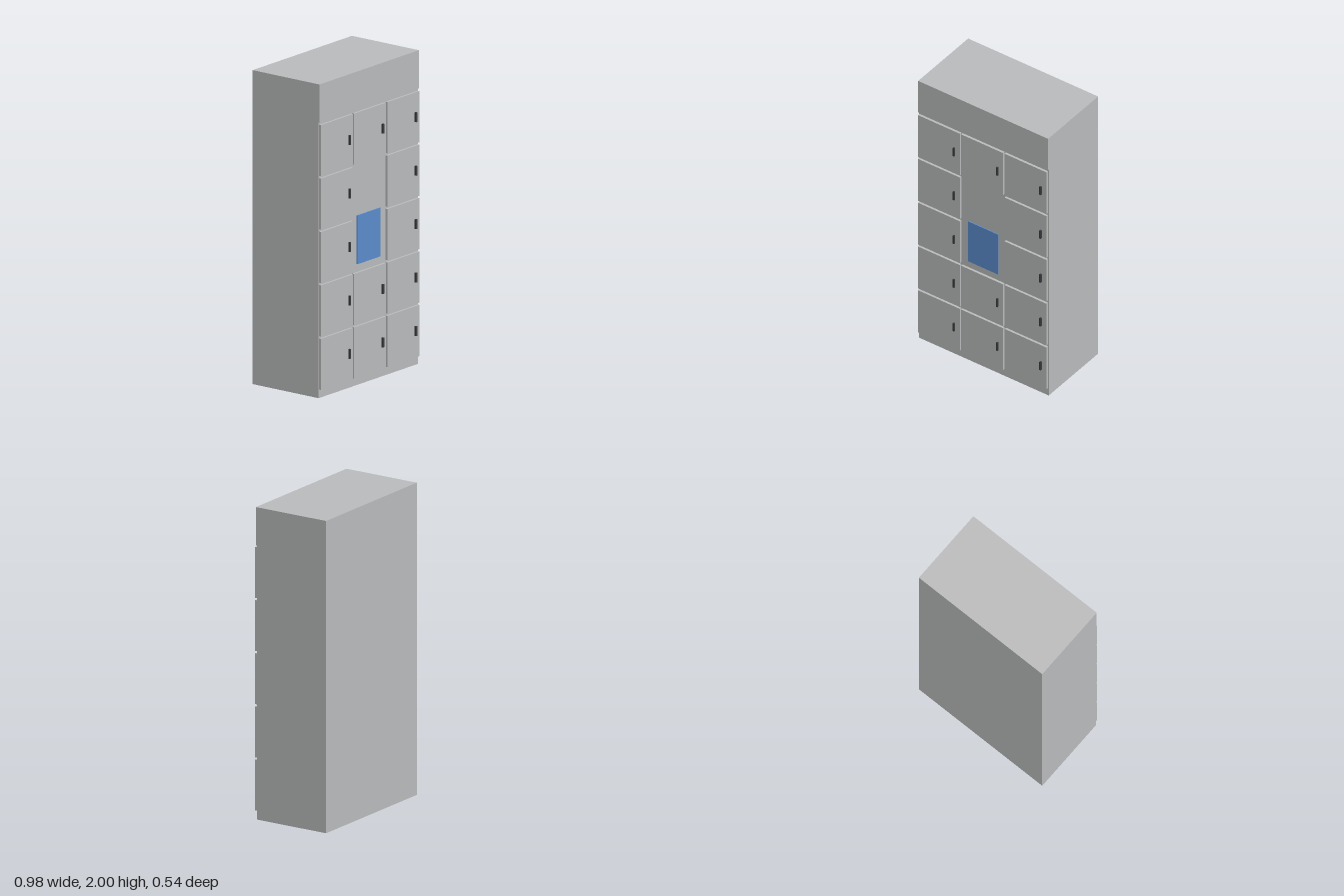
import * as THREE from 'three';

const material = (name, color) => {
  const m = new THREE.MeshStandardMaterial({ color });
  m.name = name;
  return m;
};

export function createModel() {
  const grey = material('lightGrey', 0xb8b9ba);
  const blue = material('screenBlue', 0x5a8acb);
  const dark = material('darkHandle', 0x3a3b3d);
  const group = new THREE.Group();
  group.name = 'lockerCabinet';

  // Box spanning z0..z1, centred on x and y
  const box = (name, mat, x, y, w, h, z0, z1, parent = group) => {
    const mesh = new THREE.Mesh(new THREE.BoxGeometry(w, h, z1 - z0), mat);
    mesh.position.set(x, y, (z0 + z1) / 2);
    mesh.name = name;
    parent.add(mesh);
  };

  const back = -0.272, face = 0.243, doorFront = 0.259;

  // Main carcass below, slightly deeper header on top
  box('carcass', grey, 0, 0.878, 0.984, 1.756, back, face);
  box('header', grey, 0, 1.878, 0.984, 0.244, back, 0.25);

  // Doors in three columns and five rows, with a gap for the control panel
  for (let col = 0; col < 3; col++) {
    for (let row = 0; row < 5; row++) {
      if (col === 1 && (row === 2 || row === 3)) continue;
      const x = -0.329 + col * 0.328;
      const y = 0.217 + row * 0.3405;
      const locker = new THREE.Group();
      locker.name = `locker${col + 1}_${row + 1}`;
      box('door', grey, x, y, 0.317, 0.326, face, doorFront, locker);
      box('handle', dark, x + 0.118, y + 0.007, 0.012, 0.061, doorFront, 0.271, locker);
      group.add(locker);
    }
  }

  // Control screen
  box('screen', blue, -0.001, 0.926, 0.228, 0.31, face, 0.25);

  return group;
}
